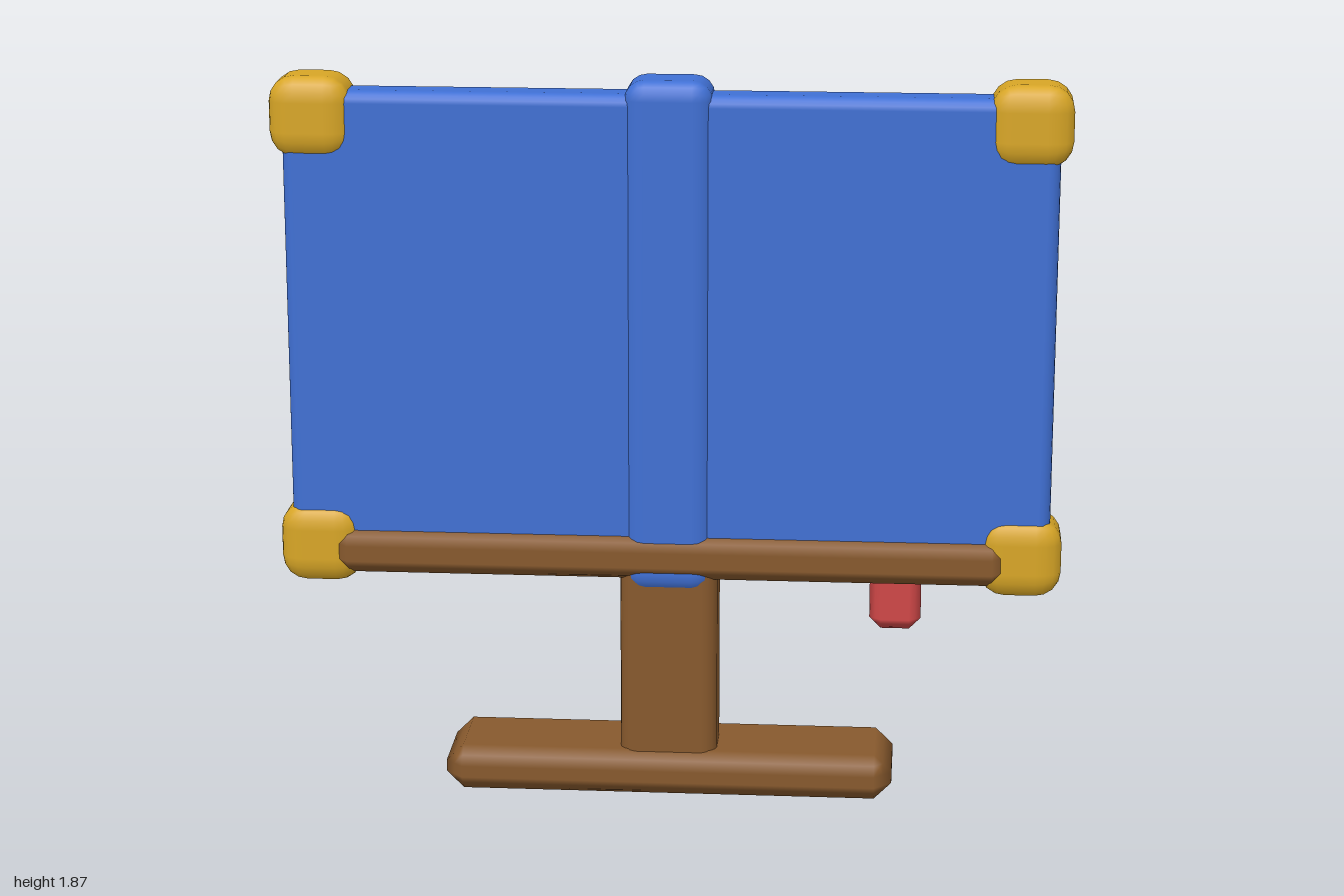
import * as THREE from 'three';

const material = (name, color) => {
  const m = new THREE.MeshStandardMaterial({ color });
  m.name = name;
  return m;
};

// Box between two corners with bevelled edges and smooth normals.
// bevel = [x, y, z] sizes; steps = rings per bevel half; chamfer = straight bevel.
function softBox(min, max, bevel, steps = 1, chamfer = false) {
  const n = steps * 2 + 1;
  const geo = new THREE.BoxGeometry(2, 2, 2, n, n, n);
  const pos = geo.attributes.position, nor = geo.attributes.normal;
  const v = new THREE.Vector3(), dir = new THREE.Vector3(), normal = new THREE.Vector3();
  for (let i = 0; i < pos.count; i++) {
    v.fromBufferAttribute(pos, i);
    const p = v.toArray();
    const u = p.map((c) => {
      // grid line counted outward from the flat middle of each side
      const ring = Math.round((Math.abs(c) * n - 1) / 2);
      return Math.sign(c) * Math.tan((ring / steps) * Math.PI / 4);
    });
    dir.fromArray(u);
    if (chamfer) dir.divideScalar(Math.abs(u[0]) + Math.abs(u[1]) + Math.abs(u[2]));
    else dir.normalize();
    const d = dir.toArray();
    const q = p.map((c, k) => (min[k] + max[k]) / 2
      + Math.sign(c) * ((max[k] - min[k]) / 2 - bevel[k]) + d[k] * bevel[k]);
    pos.setXYZ(i, ...q);
    normal.set(d[0] / bevel[0], d[1] / bevel[1], d[2] / bevel[2]).normalize();
    nor.setXYZ(i, normal.x, normal.y, normal.z);
  }
  return geo;
}

export function createModel() {
  const group = new THREE.Group();
  const wood = material('brown wood', 0x87592d);
  const blue = material('blue cover', 0x4070d4);
  const gold = material('gold', 0xd8a626);
  const paper = material('grey paper', 0xcccccc);
  const red = material('red ribbon', 0xcf4747);

  const add = (name, geo, mat) => {
    const mesh = new THREE.Mesh(geo, mat);
    mesh.name = name;
    group.add(mesh);
    return mesh;
  };

  // Stand: foot, post and the ledge the book rests on
  add('standFoot', softBox([-0.58, 0, -0.145], [0.58, 0.12, 0.15], [0.045, 0.045, 0.045], 1, true), wood);
  add('standPost', softBox([-0.125, 0.05, -0.06], [0.125, 0.66, 0.11], [0.04, 0.02, 0.035], 2), wood);
  add('ledge', softBox([-0.87, 0.585, -0.135], [0.87, 0.705, 0.142], [0.045, 0.04, 0.045], 1, true), wood);

  // Book: open cover, spine and page block
  add('bookCover', softBox([-0.97, 0.6, -0.015], [0.97, 1.837, 0.105], [0.03, 0.03, 0.03], 2), blue);
  add('bookSpine', softBox([-0.11, 0.55, -0.04], [0.11, 1.873, 0.12], [0.05, 0.05, 0.035], 2), blue);
  const pages = add('pages', new THREE.BoxGeometry(1.64, 0.89, 0.08), paper);
  pages.position.set(0, 1.205, -0.033);

  // Metal caps on the four cover corners
  for (const x of [-0.897, 0.897]) {
    for (const y of [0.66, 1.77]) {
      const cap = softBox([-0.103, -0.103, -0.04], [0.103, 0.103, 0.122], [0.065, 0.065, 0.04], 2);
      add('cornerCap', cap, gold).position.set(x, y, 0);
    }
  }

  // Bookmark hanging behind the ledge
  add('bookmark', softBox([0.513, 0.4, -0.15], [0.647, 0.71, -0.07], [0.03, 0.03, 0.025], 1, true), red);

  return group;
}
